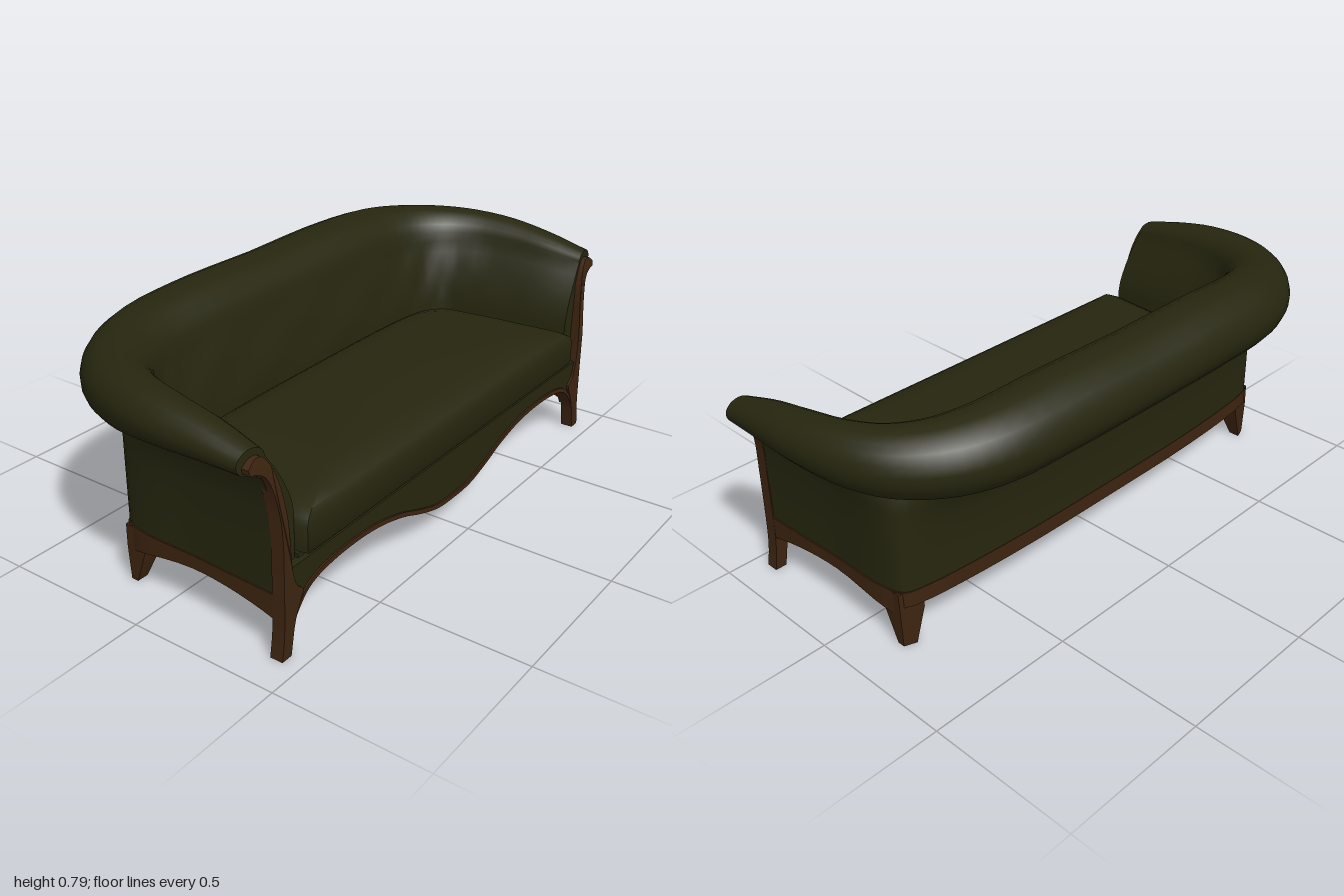
import * as THREE from 'three';
import { toCreasedNormals } from 'three/addons/utils/BufferGeometryUtils.js';

const V2 = (x, y) => new THREE.Vector2(x, y);
const V3 = (x, y, z) => new THREE.Vector3(x, y, z);

// Closed skin through rings of points; caps are triangulated on the two given axes.
function loft(rows, a, b, crease = 0.7) {
  const n = rows[0].length, pos = [], idx = [];
  rows.forEach(r => r.forEach(p => pos.push(p.x, p.y, p.z)));
  for (let i = 0; i < rows.length - 1; i++) for (let j = 0; j < n; j++) {
    const k = (j + 1) % n, p = i * n, q = p + n;
    idx.push(p + j, p + k, q + k, p + j, q + k, q + j);
  }
  [0, rows.length - 1].forEach(i => {
    const flat = rows[i].map(p => V2(p[a], p[b]));
    const sign = Math.sign(THREE.ShapeUtils.area(flat));
    THREE.ShapeUtils.triangulateShape(flat, []).forEach(([r, s, t]) => {
      const same = Math.sign(THREE.ShapeUtils.area([flat[r], flat[s], flat[t]])) === sign;
      const flip = same === (i === 0);
      const o = i * n;
      idx.push(o + r, o + (flip ? t : s), o + (flip ? s : t));
    });
  });
  // turn the faces outward when the enclosed volume is negative
  let vol = 0;
  const at = i => V3(pos[3 * i], pos[3 * i + 1], pos[3 * i + 2]);
  for (let i = 0; i < idx.length; i += 3) vol += at(idx[i]).dot(at(idx[i + 1]).cross(at(idx[i + 2])));
  if (vol < 0) idx.reverse();
  const g = new THREE.BufferGeometry();
  g.setAttribute('position', new THREE.Float32BufferAttribute(pos, 3));
  g.setIndex(idx);
  return toCreasedNormals(g, crease);
}

function extrude(points, z0, z1) {
  const g = new THREE.ExtrudeGeometry(new THREE.Shape(points), { depth: z1 - z0, bevelEnabled: false });
  return g.translate(0, 0, z0);
}

const curve = pts => new THREE.CatmullRomCurve3(pts.map(p => V3(...p)));
// Plan curves from the back centre to the left arm front; y carries a section size.
// inner: roll half width; outer: roll underside height; rim: roll top height
const inner = curve([[0, .135, -.14], [.35, .135, -.138], [.58, .13, -.125], [.68, .12, -.10], [.735, .105, -.05],
  [.75, .09, .03], [.765, .08, .15], [.775, .068, .28], [.785, .05, .412]]);
const outer = curve([[0, .535, -.23], [.35, .535, -.228], [.62, .535, -.215], [.76, .54, -.2], [.825, .547, -.18],
  [.85, .56, -.1], [.855, .58, .1], [.862, .588, .25], [.868, .59, .412]]);
const rim = curve([[0, .78, -.455], [.34, .785, -.453], [.6, .775, -.435], [.77, .762, -.37], [.9, .752, -.25],
  [.97, .745, -.1], [1, .73, .08], [.995, .703, .24], [.983, .665, .39]]);

const STEPS = 28;
function alongU(section) {
  const rows = [];
  for (let i = -STEPS; i <= STEPS; i++) {
    const s = i < 0 ? -1 : 1;
    rows.push(section(Math.abs(i) / STEPS).map(p => V3(p.x * s, p.y, p.z)));
  }
  return rows;
}

// Inner face, rolled top, neck and outer wall in one section
function shellSection(u) {
  const I = inner.getPoint(u), O = outer.getPoint(u), R = rim.getPoint(u);
  const a = I.y, yb = O.y, yt = R.y, yc = (yt + yb) / 2, h = (yt - yb) / 2;
  const n = V3(R.x - I.x, 0, R.z - I.z).normalize();
  const C = R.clone().addScaledVector(n, -a);
  const pts = [];
  const mix = (P, Q, f, y) => pts.push(V3(P.x + (Q.x - P.x) * f, y, P.z + (Q.z - P.z) * f));
  mix(I, I, 0, .21);
  mix(I, I, 0, .42);
  const side = C.clone().addScaledVector(n, -a);
  for (let k = 1; k <= 5; k++) {
    const s = k / 6, y = .42 + (yc - .42) * s;
    mix(I, side, Math.pow(s, 1.5), y);
    // shallow tufting
    const tuft = .006 * Math.cos(u * 40) * Math.sin(s * Math.PI * 2) * (1 - u);
    pts[pts.length - 1].addScaledVector(n, tuft);
  }
  for (let k = 0; k <= 16; k++) {
    const t = Math.PI - k / 16 * Math.PI * 1.55;
    const p = C.clone().addScaledVector(n, Math.cos(t) * a);
    pts.push(V3(p.x, yc + Math.sin(t) * h, p.z));
  }
  mix(O, C, .5, yb - .025);
  mix(O, C, .22, yb - .075);
  mix(O, C, .07, yb - .14);
  mix(O, O, 0, .3);
  mix(O, O, 0, .18);
  return pts;
}

// Wooden rail below the outer wall, arched along the sides
function railSection(u) {
  const O = outer.getPoint(u), mid = V3(0, 0, .12);
  const low = u > .52 ? .155 - .035 * ((O.z - .14) / .26) ** 2 : .145;
  const at = (f, y) => V3(O.x + (mid.x - O.x) * f, y, O.z + (mid.z - O.z) * f);
  return [at(-.005, low), at(-.005, .198), at(.05, .198), at(.05, low)];
}

function cushionGeometry() {
  const plan = [];
  for (let i = -STEPS; i <= STEPS; i++) {
    const p = inner.getPoint(Math.abs(i) / STEPS);
    plan.push(V2(p.x * Math.sign(i), p.y === 0 ? 0 : p.z));
  }
  for (let i = 0; i <= 12; i++) plan.push(V2(.775 - i / 12 * 1.55, .45));
  const rings = [[.98, .285], [1, .295], [1, .375], [.985, .398], [.95, .412], [.85, .43], [.65, .445], [.4, .452], [.1, .455]];
  return loft(rings.map(([s, y]) => plan.map(p => V3(p.x * s, y, .15 + (p.y - .15) * s))), 'x', 'z');
}

export function createModel() {
  const model = new THREE.Group();
  const fabric = new THREE.MeshStandardMaterial({ color: 0x26260f, side: THREE.DoubleSide });
  fabric.name = 'olive fabric';
  const wood = new THREE.MeshStandardMaterial({ color: 0x3d2410, side: THREE.DoubleSide });
  wood.name = 'brown wood';
  const add = (name, g, m) => {
    const mesh = new THREE.Mesh(g, m);
    mesh.name = name;
    model.add(mesh);
    return mesh;
  };

  // Upholstery
  add('backAndArms', loft(alongU(shellSection), 'x', 'y', .9), fabric);
  add('seatCushion', cushionGeometry(), fabric);
  add('seatDeck', new THREE.BoxGeometry(1.56, .08, .58).translate(0, .245, .13), fabric);

  // Front apron with its serpentine lower edge
  const half = [[.1, .106], [.2, .135], [.3, .172], [.42, .2], [.55, .21], [.68, .202], [.76, .178], [.81, .13], [.828, .1]];
  const edge = new THREE.SplineCurve([
    ...half.map(([x, y]) => V2(-x, y)).reverse(), V2(0, .1), ...half.map(([x, y]) => V2(x, y)),
  ]).getPoints(72);
  add('frontApron', extrude([...edge, V2(.86, .12), V2(.86, .272), V2(-.86, .272), V2(-.86, .12)], .4, .437), fabric);
  const trimTop = edge.map(p => V2(p.x, p.y + .014)).reverse();
  add('apronTrim', extrude([...edge.map(p => V2(p.x, p.y - .002)), ...trimTop], .395, .443), wood);

  // Wooden rail and bottom panel
  add('baseRail', loft(alongU(railSection), 'x', 'y'), wood);
  add('bottomPanel', new THREE.BoxGeometry(1.48, .055, .47).translate(0, .175, .045), wood);

  // Front legs sweeping up into the arm facings
  const outside = [[.888, 0], [.876, .08], [.872, .2], [.872, .42], [.885, .52], [.905, .575], [.935, .598], [.962, .605]];
  const inside = [[.965, .622], [.935, .642], [.9, .63], [.865, .56], [.846, .45], [.838, .3], [.82, .22], [.79, .19],
    [.802, .16], [.828, .1], [.848, 0]];
  const spline = l => new THREE.SplineCurve(l.map(p => V2(...p))).getPoints(36);
  const facing = extrude([...spline(outside), ...spline(inside)], .402, .445);
  const p = facing.attributes.position;
  for (let i = 0; i < p.count; i++) {
    const y = p.getY(i);
    if (y > .36) p.setZ(i, p.getZ(i) - .032 * Math.pow((y - .36) / .28, 1.5));
  }
  facing.computeVertexNormals();

  // Tapered back legs: y, x range, z range
  const backLeg = loft([[0, .80, .84, -.19, -.15], [.12, .765, .845, -.192, -.105], [.195, .765, .846, -.19, -.1]]
    .map(([y, x0, x1, z0, z1]) => [V3(x0, y, z0), V3(x1, y, z0 + .015), V3(x1, y, z1), V3(x0, y, z1)]), 'x', 'z', .5);

  for (const [side, s] of [['left', 1], ['right', -1]]) {
    add(side + 'FrontLegAndArmFacing', facing, wood).scale.x = s;
    add(side + 'BackLeg', backLeg, wood).scale.x = s;
  }
  return model;
}
